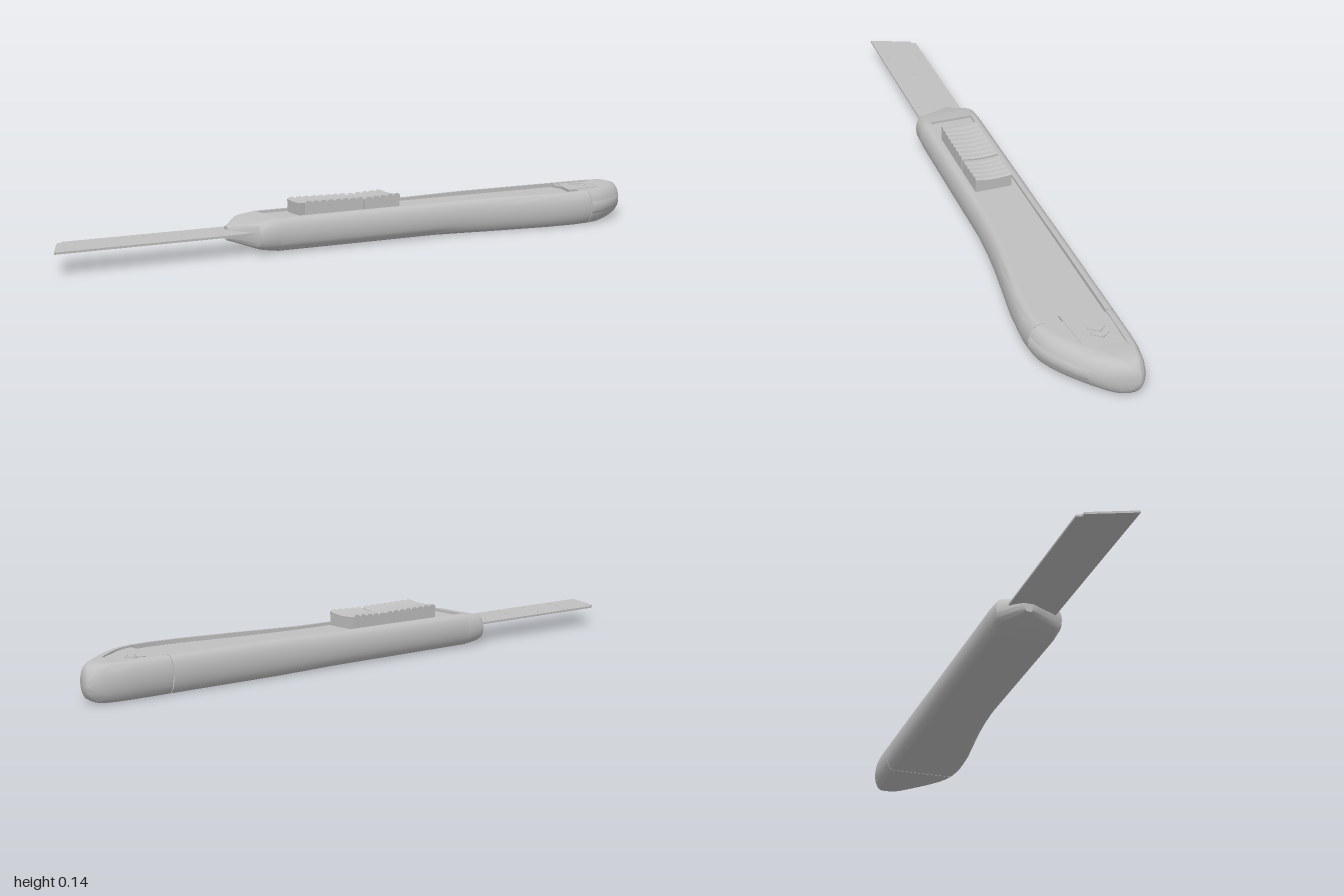
import * as THREE from 'three';
import { toCreasedNormals } from 'three/addons/utils/BufferGeometryUtils.js';

const MID = 0.053; // height of the handle's centre line

// Handle stations: x, back z, front z, half height, front rounding
const NOSE = [
  [-0.45, -0.065, -0.035, 0.021, 0.012], [-0.435, -0.085, -0.01, 0.025, 0.02],
  [-0.395, -0.127, 0.068, 0.037, 0.025], [-0.38, -0.13, 0.073, 0.041, 0.025], [-0.33, -0.13, 0.075, 0.048, 0.025],
];
const BODY = [
  [-0.33, -0.13, 0.075, 0.048, 0.025], [0.2, -0.13, 0.075, 0.049, 0.025], [0.3, -0.13, 0.08, 0.051, 0.025],
  [0.4, -0.13, 0.09, 0.0525, 0.025], [0.5, -0.13, 0.104, 0.0525, 0.025], [0.6, -0.13, 0.118, 0.0525, 0.025],
  [0.7, -0.13, 0.125, 0.0525, 0.027], [0.755, -0.13, 0.122, 0.0525, 0.03],
];
const CAP = [
  [0.757, -0.13, 0.122, 0.0525, 0.03], [0.79, -0.13, 0.116, 0.0525, 0.034], [0.82, -0.13, 0.105, 0.0525, 0.04],
  [0.85, -0.13, 0.09, 0.0525, 0.047], [0.88, -0.129, 0.071, 0.0525, 0.053], [0.91, -0.127, 0.049, 0.0525, 0.058],
  [0.935, -0.123, 0.028, 0.0525, 0.06], [0.955, -0.119, 0.008, 0.052, 0.06], [0.97, -0.114, -0.011, 0.049, 0.055],
  [0.985, -0.107, -0.035, 0.041, 0.036], [0.995, -0.099, -0.063, 0.026, 0.018], [1, -0.09, -0.086, 0.006, 0.002],
];

// Skin a row of equal cross-sections, each an array of [x, y, z]
function loft(rings, { closed = true, caps = false } = {}) {
  const n = rings[0].length, index = [];
  for (let i = 0; i < rings.length - 1; i++) {
    for (let j = 0; j < (closed ? n : n - 1); j++) {
      const k = (j + 1) % n, a = i * n + j, b = a + n, c = (i + 1) * n + k, d = i * n + k;
      index.push(a, b, c, a, c, d);
    }
  }
  const last = (rings.length - 1) * n;
  if (caps) for (let j = 1; j < n - 1; j++) index.push(0, j, j + 1, last, last + j + 1, last + j);
  const g = new THREE.BufferGeometry();
  g.setAttribute('position', new THREE.Float32BufferAttribute(rings.flat(2), 3));
  g.setIndex(index);
  return toCreasedNormals(g, 0.6);
}

// Cross-section with bulging sides, a rim and a floor between the rims
function section([x, zb, zf, h, ins], floorAt) {
  const N = 12, pts = [], w = zf - zb, insB = Math.min(0.025, w * 0.4), insF = Math.min(ins, w * 0.45);
  const lip = Math.min(0.01, w * 0.05), floor = Math.min(floorAt(x), MID + h);
  const arc = (i) => -Math.PI / 2 + (Math.PI * i) / N;
  for (let i = 0; i <= N; i++) pts.push([x, MID + h * Math.sin(arc(i)), zf - insF + insF * Math.cos(arc(i))]);
  pts.push([x, MID + h, zf - insF - lip], [x, floor, zf - insF - lip - 0.001]);
  pts.push([x, floor, zb + insB + lip + 0.001], [x, MID + h, zb + insB + lip]);
  for (let i = N; i >= 0; i--) pts.push([x, MID + h * Math.sin(arc(i)), zb + insB - insB * Math.cos(arc(i))]);
  return pts;
}

// Lay a flat outline drawn in x and z down as a plate with its top at height y
function plate(shape, top, thick) {
  const g = new THREE.ExtrudeGeometry(shape, { depth: thick, bevelEnabled: false });
  return g.rotateX(Math.PI / 2).translate(0, top, 0);
}
const outline = (pts) => new THREE.Shape(pts.map(([x, z]) => new THREE.Vector2(x, z)));

export function createModel() {
  const group = new THREE.Group();
  const grey = new THREE.MeshStandardMaterial({ color: 0xc0c0c0 });
  grey.name = 'plain grey';
  grey.side = THREE.DoubleSide;
  const add = (name, geometry) => {
    const mesh = new THREE.Mesh(geometry, grey);
    mesh.name = name;
    group.add(mesh);
    return mesh;
  };

  // Handle: tapered nose, open channel and rounded end cap
  add('nose', loft(NOSE.map((s) => section(s, () => 1)), { caps: true }));
  add('handleBody', loft(BODY.map((s) => section(s, () => 0.045))));
  add('endCap', loft(CAP.map((s) => section(s, (x) => (x < 0.9 ? 0.1 : 1))), { caps: true }));

  // Deck inside the rim, with a slot that has toothed edges
  const deck = outline([
    ...BODY.map((s) => [s[0], s[2] - s[4] - 0.008]),
    ...BODY.map((s) => [s[0], s[1] + 0.033]).reverse(),
  ]);
  const front = [], back = [];
  for (let x = 0.1; x < 0.72; x += 0.04) {
    front.push([x, 0.03], [x + 0.012, 0.03], [x + 0.02, 0.016], [x + 0.032, 0.016]);
    back.push([x, -0.088], [x + 0.012, -0.088], [x + 0.02, -0.074], [x + 0.032, -0.074]);
  }
  deck.holes.push(outline([
    [-0.345, -0.045], [-0.345, 0], [-0.31, 0.022], [0.08, 0.022], ...front, [0.745, 0.03],
    [0.755, -0.088], ...back.reverse(), [0.08, -0.074], [-0.31, -0.068],
  ]));
  add('deck', plate(deck, 0.093, 0.014));

  // Slanted cover plate and two direction chevrons on the cap
  add('capPlate', plate(outline([[0.73, 0.03], [0.9, 0.015], [0.92, -0.09], [0.78, -0.095], [0.765, -0.06]]), 0.1015, 0.008));
  for (const x of [0.805, 0.83]) {
    add('chevron', plate(outline([
      [x, -0.07], [x + 0.008, -0.07], [x + 0.027, -0.045], [x + 0.008, -0.02], [x, -0.02], [x + 0.019, -0.045],
    ]), 0.104, 0.004));
  }

  // Raised side tab on the front of the cap
  const tab = CAP.slice(0, 7).map(([x, , zf, h, ins]) => [0.03, 0.04, 0.053, 0.066, 0.078].map((y, i) => {
    const s = (y - MID) / h, edge = i === 0 || i === 4 ? -0.003 : 0.003;
    return [x, y, zf - ins + ins * Math.sqrt(1 - s * s) + edge];
  }));
  add('capTab', loft(tab, { closed: false }));

  // Blade with slanted tip
  add('blade', plate(outline([
    [-1, 0.045], [0.35, 0.045], [0.35, -0.1], [-0.93, -0.1], [-0.937, -0.085], [-0.948, -0.085],
  ]), 0.063, 0.006));

  // Broken score lines along the blade
  for (let i = 0; i < 4; i++) {
    for (const t of [0.15, 0.5, 0.85]) {
      const g = new THREE.BoxGeometry(0.003, 0.001, 0.016);
      g.rotateY(-0.38).translate(-0.865 + i * 0.12 + t * 0.055, 0.0632, 0.045 - t * 0.14);
      add('scoreLine', g);
    }
  }

  // Carrier sliding in the slot
  add('carrier', plate(outline([
    [-0.325, -0.04], [-0.325, -0.005], [-0.3, 0.012], [0.12, 0.012], [0.14, -0.005], [0.14, -0.04], [0.12, -0.06], [-0.3, -0.06],
  ]), 0.09, 0.025));

  // Ribbed thumb slider in two pieces, with a slightly hollow top
  const thumb = (x0, x1, ribs, y0, y1) => {
    const pts = [[x0 + 0.002, 0.09], [x1 - 0.002, 0.09]], pitch = (x1 - x0) / ribs;
    for (let i = ribs - 1; i >= 0; i--) {
      const x = x0 + i * pitch, y = y0 + ((y1 - y0) * (i + 0.5)) / ribs;
      pts.push([x + pitch, y - 0.005], [x + pitch * 0.8, y], [x + pitch * 0.3, y], [x + pitch * 0.1, y - 0.005]);
    }
    pts.push([x0, y0 - 0.005]);
    const g = new THREE.ExtrudeGeometry(outline(pts), { depth: 0.113, steps: 8, bevelEnabled: false });
    g.translate(0, 0, -0.078);
    const p = g.attributes.position;
    for (let i = 0; i < p.count; i++) {
      if (p.getY(i) < 0.12) continue;
      const t = (p.getZ(i) + 0.078) / 0.113;
      p.setY(i, p.getY(i) - 0.005 * Math.sin(Math.PI * t) - 0.003 * (1 - t));
    }
    g.computeVertexNormals();
    return g;
  };
  add('thumbSliderFront', thumb(-0.235, -0.038, 8, 0.141, 0.138));
  add('thumbSliderRear', thumb(-0.032, 0.09, 5, 0.136, 0.141));

  return group;
}
